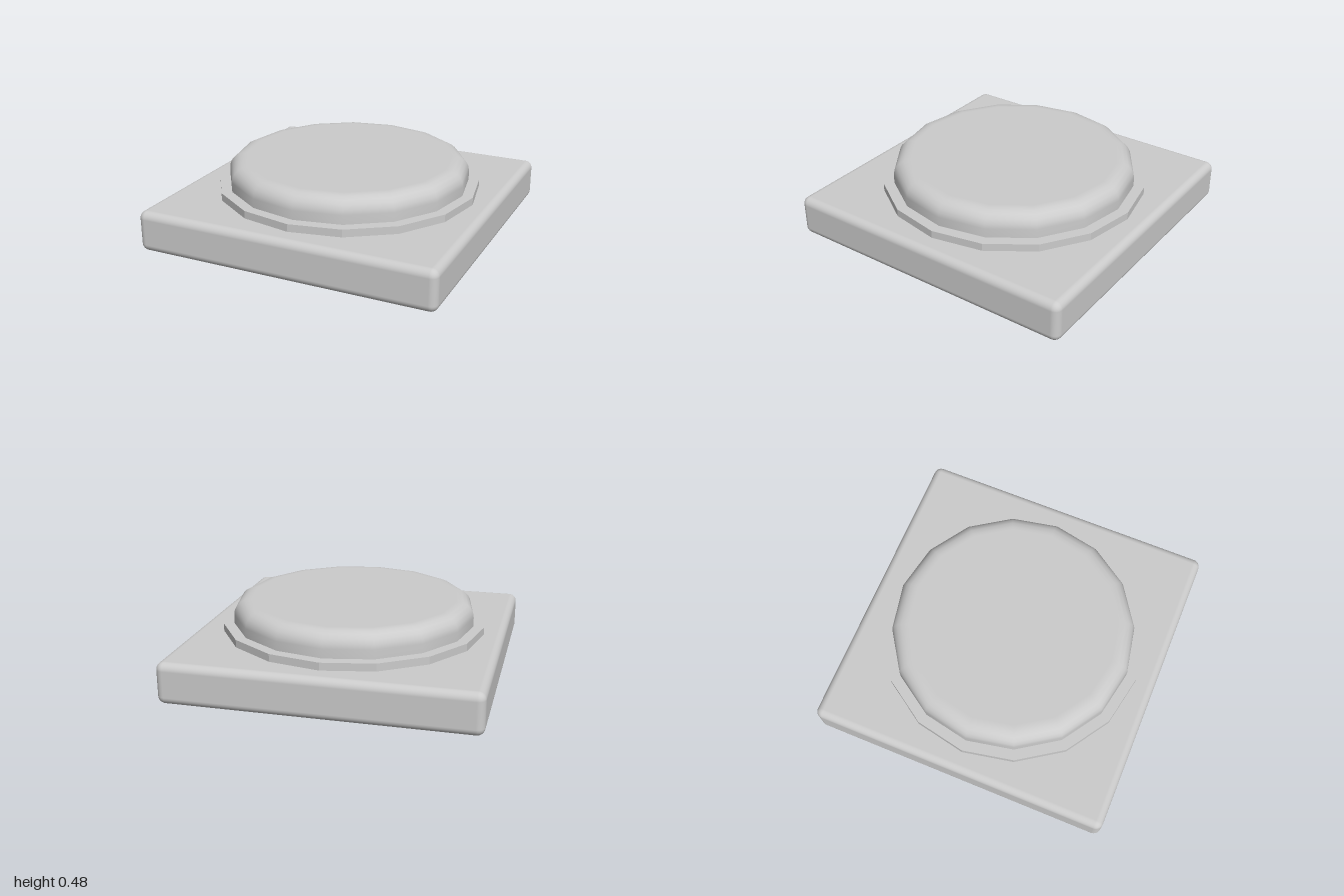
import * as THREE from 'three';
import { RoundedBoxGeometry } from 'three/addons/geometries/RoundedBoxGeometry.js';

const SIDES = 16;
const BASE_HEIGHT = 0.27;
const RING_TOP = 0.32;
const CAP_TOP = 0.48;

export function createModel() {
  const model = new THREE.Group();
  model.name = 'pushButton';

  const smooth = new THREE.MeshStandardMaterial({ color: 0xcccccc });
  const faceted = new THREE.MeshStandardMaterial({ color: 0xcccccc, flatShading: true });

  function add(name, geometry, material, y = 0) {
    const mesh = new THREE.Mesh(geometry, material);
    mesh.name = name;
    mesh.position.y = y;
    model.add(mesh);
  }

  // Square base with softened edges
  add('base', new RoundedBoxGeometry(2, BASE_HEIGHT, 2, 4, 0.05), smooth, BASE_HEIGHT / 2);

  // Thin collar around the button, sunk slightly into the base
  const collarBottom = BASE_HEIGHT - 0.03;
  add('collar', new THREE.CylinderGeometry(0.87, 0.87, RING_TOP - collarBottom, SIDES),
    faceted, (RING_TOP + collarBottom) / 2);

  // Button cap: straight wall, rounded shoulder, flat top
  const radius = 0.8, round = 0.1;
  const profile = [new THREE.Vector2(radius, RING_TOP - 0.03)];
  for (let i = 0; i <= 5; i++) {
    const a = (i / 5) * Math.PI / 2;
    profile.push(new THREE.Vector2(
      radius - round + round * Math.cos(a),
      CAP_TOP - round + round * Math.sin(a)));
  }
  profile.push(new THREE.Vector2(radius - round - 0.02, CAP_TOP), new THREE.Vector2(0, CAP_TOP));
  add('buttonCap', new THREE.LatheGeometry(profile, SIDES), smooth);

  return model;
}
